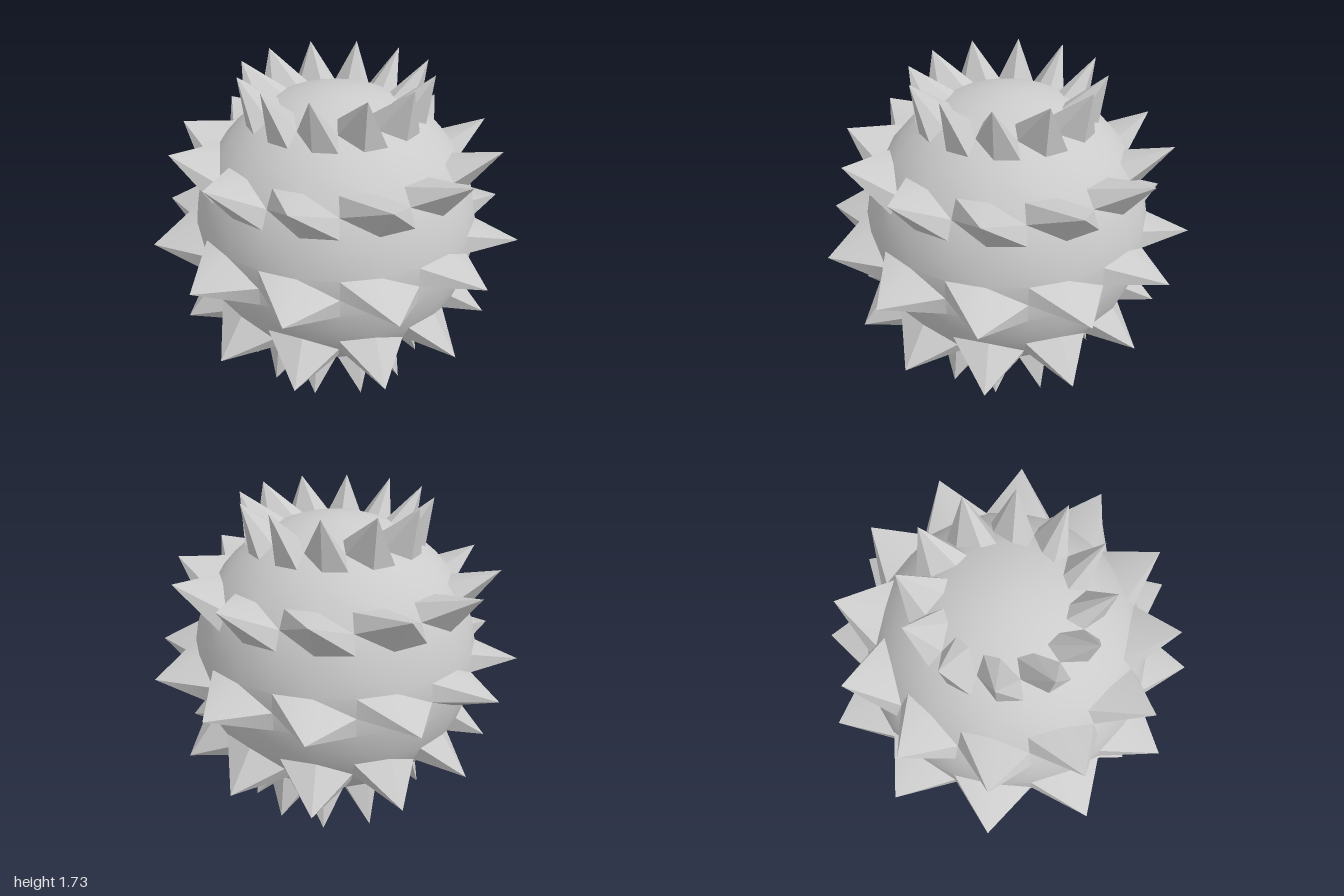
import * as THREE from 'three';
import { toCreasedNormals } from 'three/addons/utils/BufferGeometryUtils.js';

const BODY_RADIUS = 0.77;
const SPIKE_RADIUS = 1;
const SEGMENTS = 24;

export function createModel() {
  const group = new THREE.Group();
  group.name = 'spikedBall';

  // Ball: a sphere whose every second vertex on every fourth row is pulled out to a spike
  const geometry = new THREE.SphereGeometry(BODY_RADIUS, SEGMENTS, SEGMENTS);
  const position = geometry.attributes.position;
  const point = new THREE.Vector3();
  for (let row = 4; row < SEGMENTS; row += 4) {
    for (let column = 0; column <= SEGMENTS; column += 2) {
      const index = row * (SEGMENTS + 1) + column;
      point.fromBufferAttribute(position, index).setLength(SPIKE_RADIUS);
      position.setXYZ(index, point.x, point.y, point.z);
    }
  }

  const ball = new THREE.Mesh(
    toCreasedNormals(geometry, Math.PI / 6),
    new THREE.MeshStandardMaterial({ color: 0xcccccc })
  );
  ball.name = 'spikedShell';
  // The lowest ring of spike tips rests on the ground
  ball.position.y = SPIKE_RADIUS * Math.sin(Math.PI / 3);
  group.add(ball);
  return group;
}
